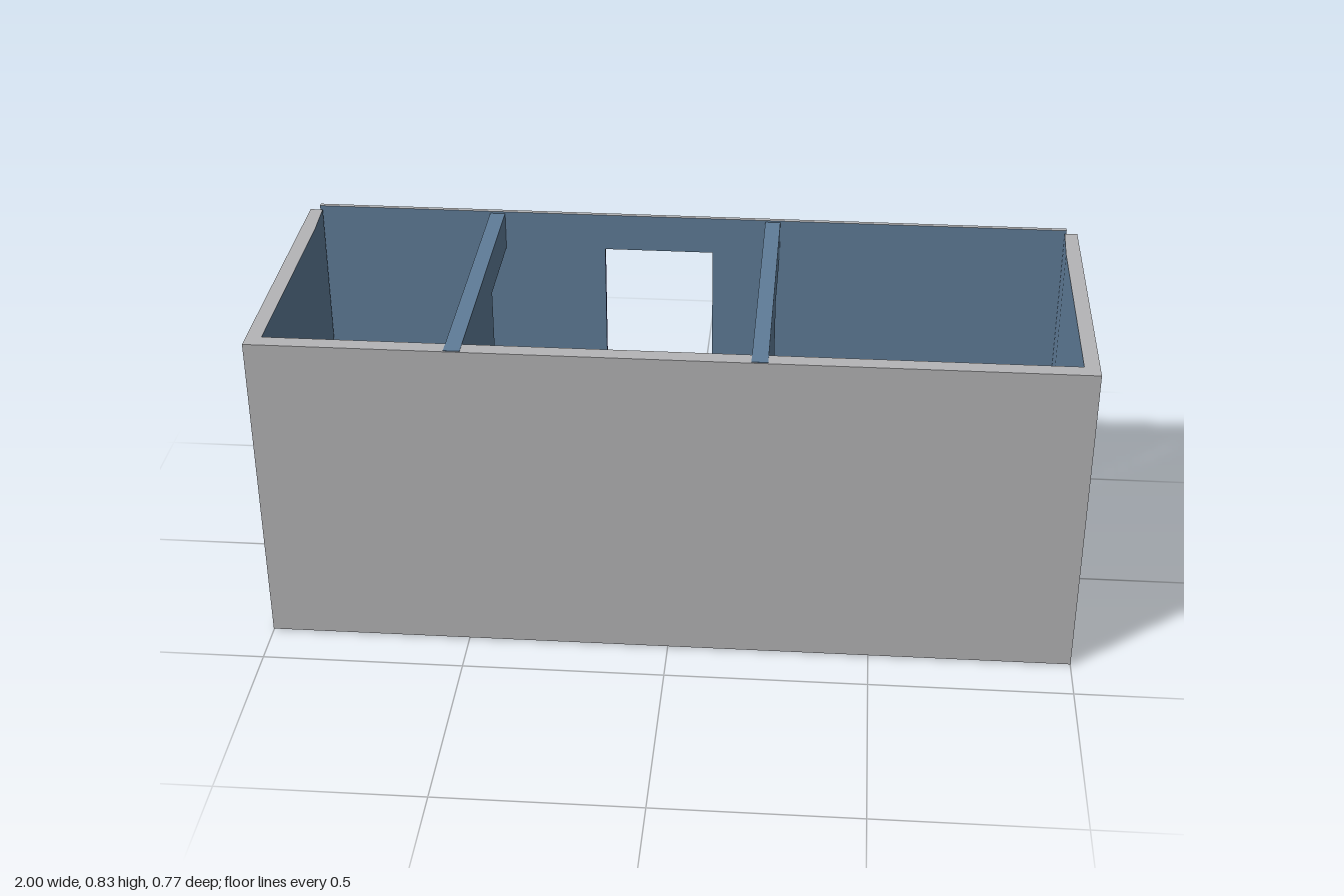
import * as THREE from 'three';

const mat = (name, color) => {
  const m = new THREE.MeshStandardMaterial({ color });
  m.name = name;
  return m;
};

export function createModel() {
  const grey = mat('wall grey', 0xb4b4b6);
  const blue = mat('interior blue', 0x5f7c98);
  const glass = mat('panel purple', 0x24066e);
  const frame = mat('frame charcoal', 0x38343c);
  const model = new THREE.Group();
  model.name = 'roomShell';

  // Box from its limits; the face at innerIndex (+x,-x,+y,-y,+z,-z) is interior blue
  function slab(parent, name, [x0, x1], [y0, y1], [z0, z1], material, innerIndex, zSegments = 1) {
    const g = new THREE.BoxGeometry(x1 - x0, y1 - y0, z1 - z0, 1, 1, zSegments);
    g.translate((x0 + x1) / 2, (y0 + y1) / 2, (z0 + z1) / 2);
    const materials = Array(6).fill(material);
    materials[innerIndex] = blue;
    const mesh = new THREE.Mesh(g, materials);
    mesh.name = name;
    parent.add(mesh);
    return mesh;
  }

  // Outer walls
  const wallY = [0.004, 0.822];
  slab(model, 'frontWall', [-1, 1], wallY, [0.345, 0.385], grey, 5);
  for (const side of [-1, 1]) {
    const span = side < 0 ? [-1, -0.963] : [0.963, 1];
    const wall = slab(model, side < 0 ? 'rightWall' : 'leftWall', span, wallY, [-0.362, 0.345], grey, side < 0 ? 0 : 1, 6);
    // The inner face thins slightly toward the back
    const p = wall.geometry.attributes.position;
    for (let i = 0; i < p.count; i++) {
      if (Math.abs(p.getX(i)) < 0.98 && p.getZ(i) < -0.3) p.setX(i, side * 0.968);
    }
    wall.geometry.computeVertexNormals();
  }

  // Partitions: full height at the front, with only a lintel over the passage at the back
  const outline = new THREE.Shape([
    [0.382, 0.004], [0.382, 0.8235], [-0.37, 0.8235], [-0.37, 0.725], [-0.11, 0.725], [-0.11, 0.004],
  ].map(([z, y]) => new THREE.Vector2(z, y)));
  const partitionGeometry = new THREE.ExtrudeGeometry(outline, { depth: 0.039, bevelEnabled: false });
  partitionGeometry.translate(0, 0, -0.0195).rotateY(-Math.PI / 2);
  for (const x of [-0.505, 0.216]) {
    const partition = new THREE.Mesh(partitionGeometry, blue);
    partition.name = 'partition';
    partition.position.x = x;
    model.add(partition);
  }

  // Back facade: a full-width header above two banded panels and a doorway
  const facade = new THREE.Group();
  facade.name = 'backFacade';
  facade.position.z = -0.3765;
  facade.rotation.y = -0.0025;
  model.add(facade);
  const depth = [-0.006, 0.006];
  slab(facade, 'header', [-0.977, 0.973], [0.73, 0.828], depth, grey, 4);
  const bands = [
    ['base', 0, 0.06, grey],
    ['lowerFrame', 0.06, 0.087, frame],
    ['panel', 0.087, 0.705, glass],
    ['upperFrame', 0.705, 0.73, frame],
  ];
  for (const span of [[-0.977, -0.223], [0.06, 0.973]]) {
    for (const [name, y0, y1, m] of bands) slab(facade, name, span, [y0, y1], depth, m, 4);
  }
  return model;
}
